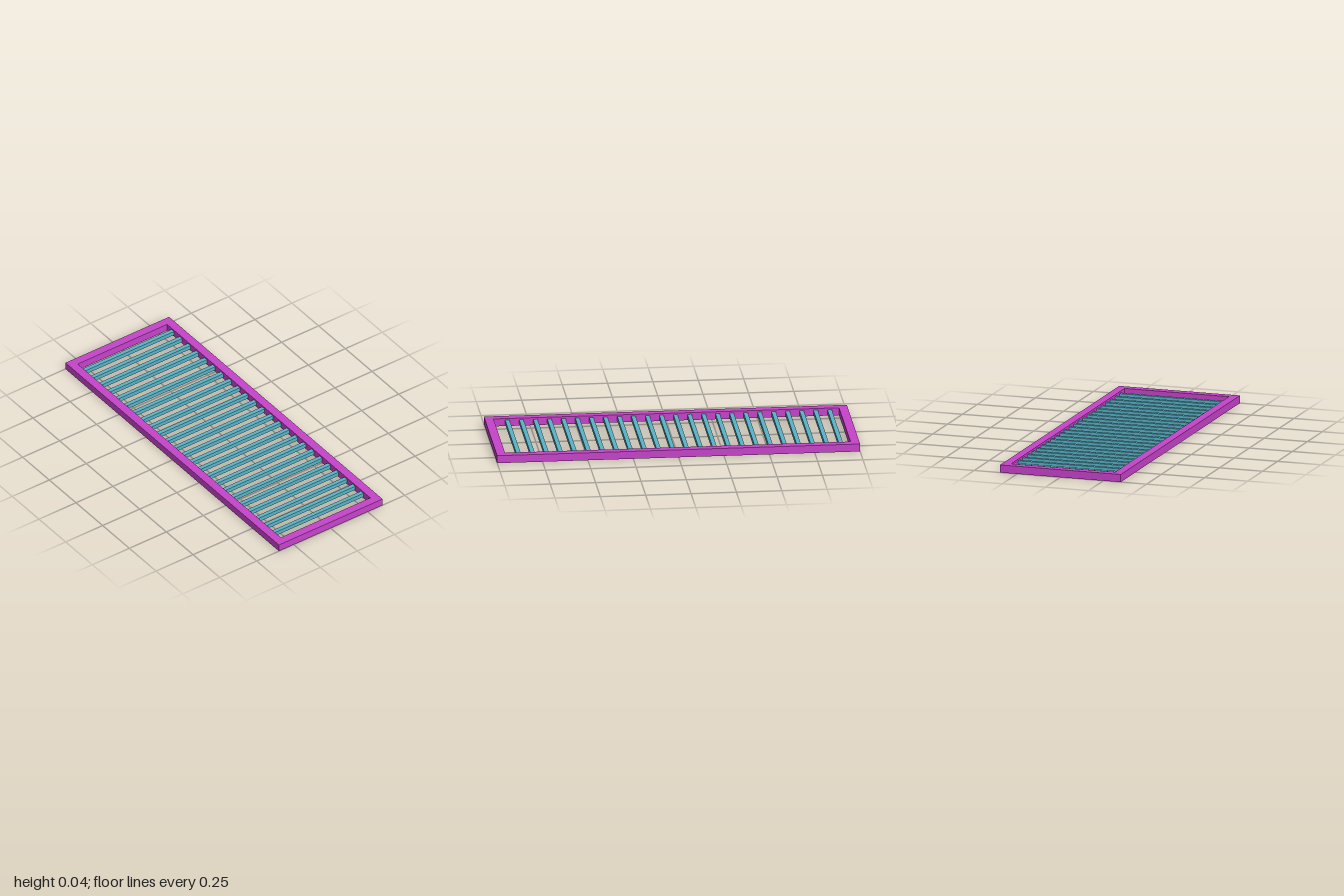
import * as THREE from 'three';

const WIDTH = 0.7, LENGTH = 2, HEIGHT = 0.043, BORDER = 0.048;
const SLATS = 24, FIRST_Z = -0.9, PITCH = 0.0772, SLAT = 0.024;

function rectangle(Type, w, h) {
  const r = new Type();
  r.moveTo(-w / 2, -h / 2);
  r.lineTo(w / 2, -h / 2);
  r.lineTo(w / 2, h / 2);
  r.lineTo(-w / 2, h / 2);
  r.closePath();
  return r;
}

export function createModel() {
  const group = new THREE.Group();
  group.name = 'slattedGrille';
  const frameMaterial = new THREE.MeshStandardMaterial({ color: 0xc844cc });
  const slatMaterial = new THREE.MeshStandardMaterial({ color: 0x5ab4c8 });

  // Rectangular frame with an open middle
  const outline = rectangle(THREE.Shape, WIDTH, LENGTH);
  outline.holes.push(rectangle(THREE.Path, WIDTH - 2 * BORDER, LENGTH - 2 * BORDER));
  const frameGeometry = new THREE.ExtrudeGeometry(outline, { depth: HEIGHT, bevelEnabled: false });
  frameGeometry.rotateX(-Math.PI / 2);
  const frame = new THREE.Mesh(frameGeometry, frameMaterial);
  frame.name = 'frame';
  group.add(frame);

  // Evenly spaced cross slats at mid height
  const slats = new THREE.Group();
  slats.name = 'slats';
  const slatGeometry = new THREE.BoxGeometry(WIDTH - 2 * BORDER, SLAT, SLAT);
  for (let i = 0; i < SLATS; i++) {
    const slat = new THREE.Mesh(slatGeometry, slatMaterial);
    slat.name = `slat${i + 1}`;
    slat.position.set(0, HEIGHT / 2, FIRST_Z + i * PITCH);
    slats.add(slat);
  }
  group.add(slats);
  return group;
}
